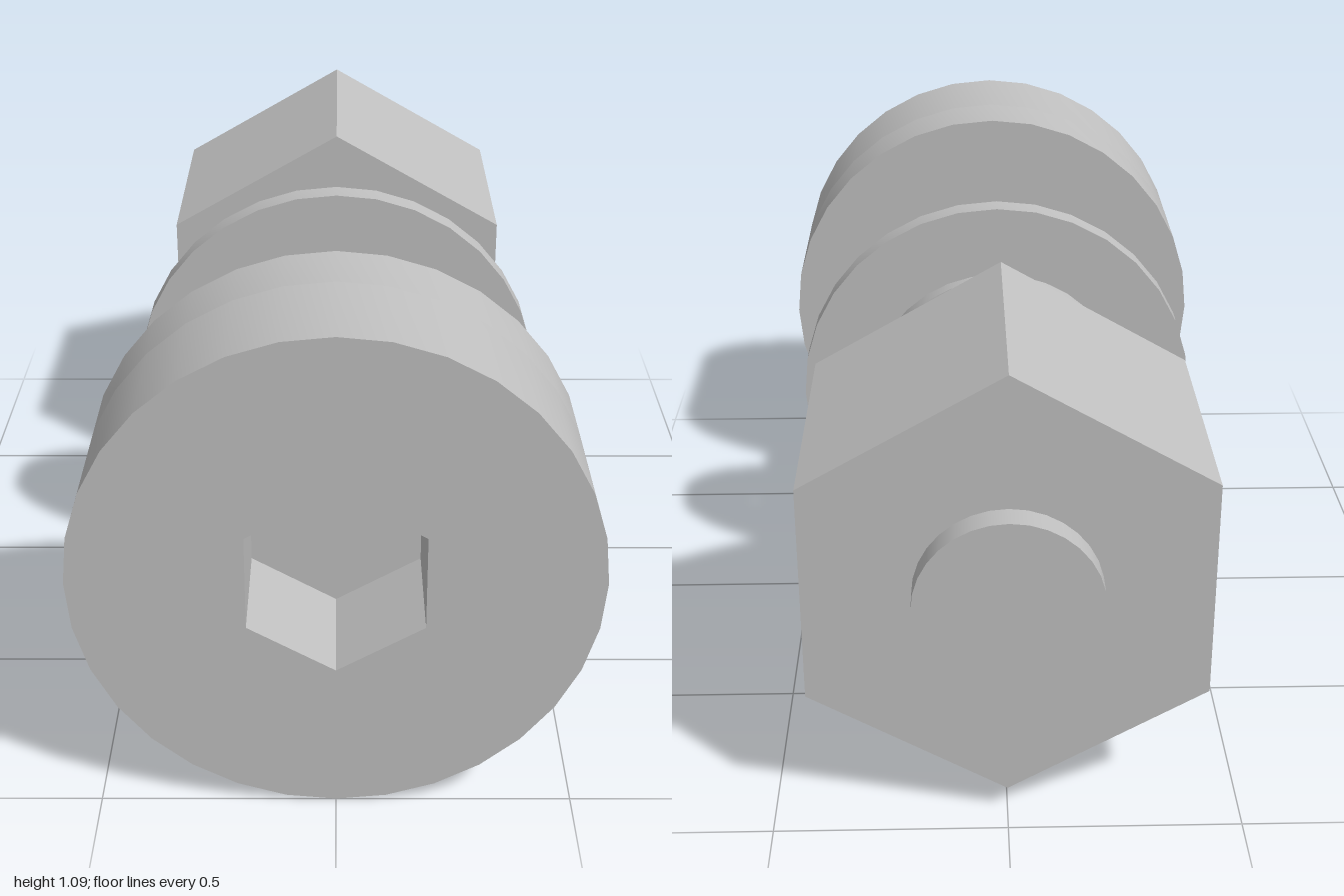
import * as THREE from 'three';
import { toCreasedNormals } from 'three/addons/utils/BufferGeometryUtils.js';

const AXIS_Y = 0.546; // height of the bolt's axis

// Regular polygon outline with a corner at the top
function outline(sides, radius) {
  const points = [];
  for (let i = 0; i < sides; i++) {
    const a = Math.PI / 2 + (i / sides) * Math.PI * 2;
    points.push(new THREE.Vector2(Math.cos(a) * radius, Math.sin(a) * radius));
  }
  return points;
}

export function createModel() {
  const steel = new THREE.MeshStandardMaterial({ color: 0xc0c0c0 });
  steel.name = 'steel grey';
  const model = new THREE.Group();
  model.name = 'shoulderBolt';

  // Prism along z, smooth round its sides when it has many of them
  function prism(name, sides, radius, back, front, hole) {
    const shape = new THREE.Shape(outline(sides, radius));
    if (hole) shape.holes.push(new THREE.Path(outline(hole.sides, hole.radius)));
    const geometry = new THREE.ExtrudeGeometry(shape, { depth: front - back, bevelEnabled: false });
    const mesh = new THREE.Mesh(toCreasedNormals(geometry, 0.5), steel);
    mesh.name = name;
    mesh.position.set(0, AXIS_Y, back);
    model.add(mesh);
  }

  // Head: socketed front portion and solid rear portion
  prism('headWithSocket', 32, 0.546, 0.74, 1, { sides: 6, radius: 0.211 });
  prism('headBase', 32, 0.546, 0.58, 0.74);

  // Shoulder, with a loose washer around its end
  prism('shoulder', 32, 0.301, 0.031, 0.58);
  prism('washer', 32, 0.485, 0.031, 0.09, { sides: 32, radius: 0.316 });

  // Thin shaft through the hexagonal nut
  prism('shaft', 32, 0.197, -1, 0.031);
  prism('nut', 6, 0.488, -0.94, -0.335, { sides: 32, radius: 0.197 });

  return model;
}
